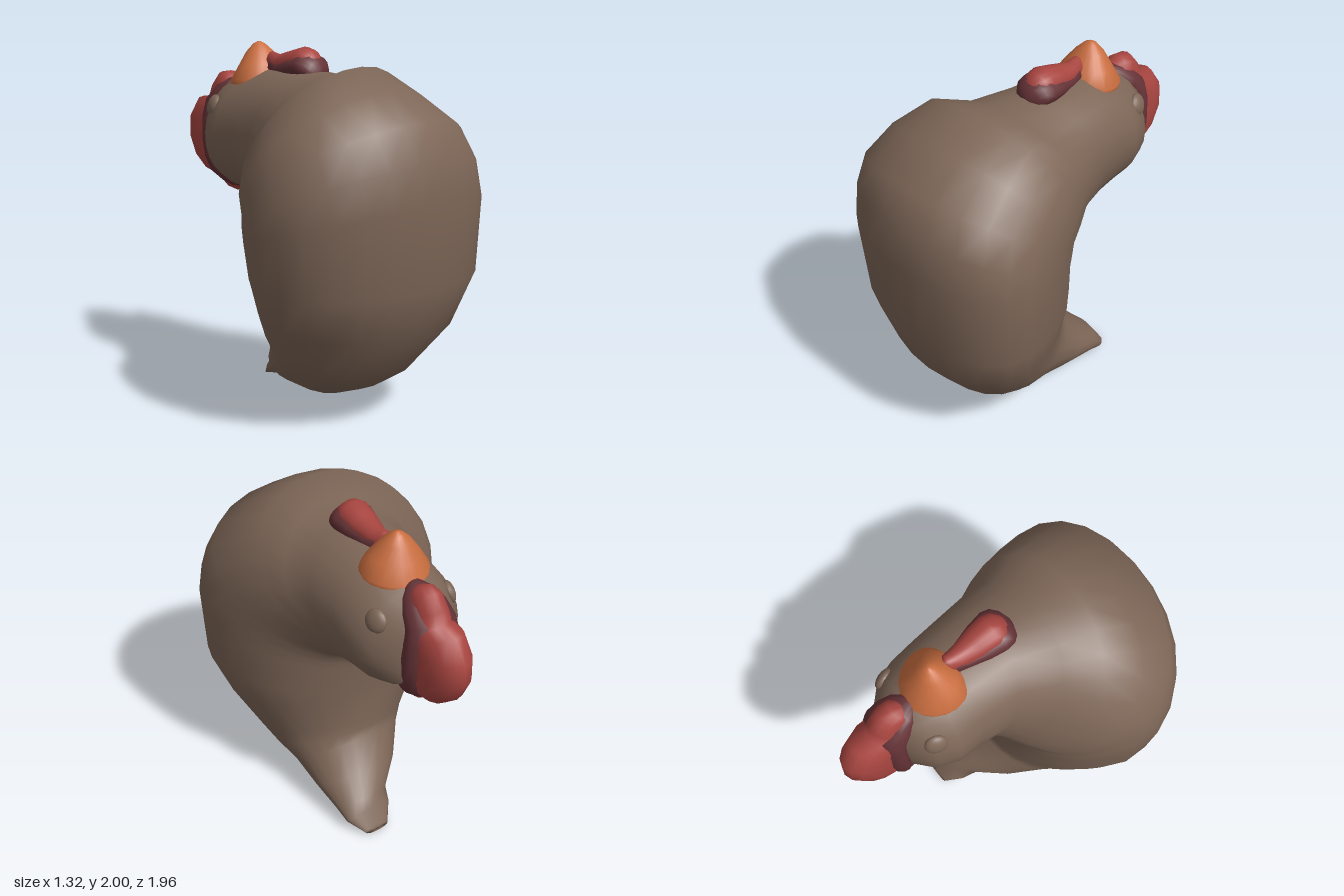
import * as THREE from 'three';

const mat = (name, color) => Object.assign(new THREE.MeshStandardMaterial({ color }), { name });

// Closed skin through oval rings: [outerZ, outerY, innerZ, innerY, minX, maxX, skew, bulge]
// skew slides the outer side towards +x, bulge moves the widest point outwards
function loft(rings, seg = 24) {
  const pos = [], index = [];
  rings.forEach(([oz, oy, iz, iy, x0, x1, skew = 0, bulge = 0]) => {
    for (let j = 0; j < seg; j++) {
      const a = (j / seg) * Math.PI * 2, s = Math.sin(a);
      const c = Math.cos(a) + bulge * s * s;
      pos.push((x0 + x1) / 2 + s * (x1 - x0) / 2 + Math.max(c, 0) * skew,
        (oy + iy) / 2 + c * (oy - iy) / 2,
        (oz + iz) / 2 + c * (oz - iz) / 2);
    }
  });
  for (let i = 0; i < rings.length - 1; i++) {
    for (let j = 0; j < seg; j++) {
      const k = (j + 1) % seg, a = i * seg + j, b = i * seg + k;
      index.push(a, b, b + seg, a, b + seg, a + seg);
    }
  }
  // end caps
  [0, rings.length - 1].forEach((i) => {
    const [oz, oy, iz, iy, x0, x1] = rings[i], centre = pos.length / 3;
    pos.push((x0 + x1) / 2, (oy + iy) / 2, (oz + iz) / 2);
    for (let j = 0; j < seg; j++) {
      const a = i * seg + j, b = i * seg + (j + 1) % seg;
      if (i === 0) index.push(centre, b, a); else index.push(centre, a, b);
    }
  });
  const g = new THREE.BufferGeometry();
  g.setAttribute('position', new THREE.Float32BufferAttribute(pos, 3));
  g.setIndex(index);
  g.computeVertexNormals();
  return g;
}

export function createModel() {
  const group = new THREE.Group();
  const brown = mat('brown feathers', 0x7d6657);
  const red = mat('comb red', 0xa84540);
  const darkRed = mat('dark red border', 0x643236);
  const orange = mat('beak orange', 0xc96e40);
  const add = (name, geometry, material) => {
    const m = new THREE.Mesh(geometry, material);
    m.name = name;
    group.add(m);
    return m;
  };
  const cx = 0.11; // head midline
  const symmetric = ([oz, oy, iz, iy, w]) => [oz, oy, iz, iy, cx - w, cx + w];
  const skullEdge = [-0.68, 1.70, -0.655, 1.23, -0.05, 0.27];

  // Tail, belly, breast and bent-back neck in one skin
  add('tailAndBelly', loft([
    [-0.40, 0.00, -0.385, 0.035, 0.14, 0.29],
    [-0.27, 0.03, -0.335, 0.12, 0.07, 0.36],
    [-0.12, 0.055, -0.30, 0.18, 0.04, 0.37],
    [0.10, 0.075, -0.20, 0.28, -0.12, 0.39],
    [0.34, 0.10, -0.09, 0.43, -0.25, 0.41],
    [0.52, 0.17, -0.08, 0.49, -0.33, 0.44, 0.04, 0.05],
    [0.66, 0.26, -0.08, 0.55, -0.41, 0.47, 0.06, 0.1],
    [0.86, 0.52, -0.08, 0.68, -0.54, 0.56, 0.11, 0.13],
    [0.955, 0.80, -0.085, 0.80, -0.63, 0.63, 0.14, 0.15],
    [0.98, 1.25, -0.10, 0.95, -0.67, 0.64, 0.14, 0.16],
    [0.95, 1.47, -0.105, 0.99, -0.665, 0.64, 0.12, 0.14],
    [0.87, 1.66, -0.11, 1.02, -0.635, 0.62, 0.08, 0.12],
    [0.66, 1.80, -0.13, 1.05, -0.58, 0.585, 0.04, 0.1],
    [0.44, 1.91, -0.17, 1.075, -0.47, 0.53, 0.03, 0.1],
    [0.25, 1.85, -0.22, 1.09, -0.32, 0.48, 0, 0.1],
    [0.00, 1.865, -0.28, 1.115, -0.22, 0.45, 0, 0.1],
    [-0.25, 1.86, -0.38, 1.135, -0.20, 0.43, 0, 0.05],
    [-0.42, 1.82, -0.48, 1.155, -0.20, 0.42],
    [-0.55, 1.78, -0.58, 1.19, -0.16, 0.38],
    skullEdge,
  ]), brown);

  // Back of the skull, where the comb grows out
  add('combRoot', loft([
    skullEdge,
    [-0.74, 1.66, -0.72, 1.27, -0.03, 0.25],
    [-0.775, 1.60, -0.76, 1.32, 0.03, 0.19],
  ]), darkRed);

  // Lobed comb
  add('comb', loft([
    [-0.57, 1.79, -0.55, 1.70, 0.045], [-0.64, 1.82, -0.56, 1.68, 0.075],
    [-0.71, 1.81, -0.57, 1.64, 0.085], [-0.77, 1.74, -0.57, 1.61, 0.09],
    [-0.79, 1.665, -0.57, 1.58, 0.105], [-0.89, 1.65, -0.57, 1.53, 0.12],
    [-0.97, 1.54, -0.57, 1.48, 0.125], [-0.975, 1.42, -0.57, 1.42, 0.125],
    [-0.92, 1.30, -0.57, 1.37, 0.12], [-0.83, 1.22, -0.57, 1.33, 0.105],
    [-0.72, 1.19, -0.56, 1.30, 0.085], [-0.65, 1.13, -0.54, 1.28, 0.07],
    [-0.58, 1.115, -0.50, 1.27, 0.055], [-0.51, 1.16, -0.48, 1.25, 0.03],
  ].map(symmetric), 16), red);

  // Border hugging the skull around the comb
  add('combBorder', loft([
    [-0.54, 1.80, -0.51, 1.72, 0.05], [-0.61, 1.79, -0.54, 1.68, 0.095],
    [-0.69, 1.755, -0.57, 1.62, 0.125], [-0.77, 1.67, -0.60, 1.59, 0.14],
    [-0.79, 1.57, -0.60, 1.53, 0.158], [-0.79, 1.42, -0.60, 1.42, 0.162],
    [-0.77, 1.30, -0.60, 1.36, 0.155], [-0.74, 1.21, -0.59, 1.32, 0.13],
    [-0.65, 1.16, -0.56, 1.30, 0.115], [-0.58, 1.14, -0.52, 1.26, 0.09],
    [-0.49, 1.15, -0.47, 1.24, 0.05],
  ].map(symmetric), 20), darkRed);

  // Teardrop wattle on the throat, with its border
  const wattle = [
    [0.075, 1.91, 0.025], [0.055, 1.945, 0.062], [0.02, 1.975, 0.085], [-0.03, 1.988, 0.092],
    [-0.12, 1.965, 0.08], [-0.23, 1.935, 0.055], [-0.29, 1.95, 0.045], [-0.315, 1.93, 0.02],
  ];
  add('wattle', loft(wattle.map(([z, y, w]) => symmetric([z, y, z, 1.82, w])), 16), red);
  add('wattleBorder', loft(wattle.map(([z, y, w]) =>
    symmetric([z + 0.025, y - 0.03, z + 0.025, 1.80, w * 1.3])), 16), darkRed);

  // Upturned beak, widest near the mouth corners
  add('beak', loft([
    [-0.22, 1.74, -0.56, 1.74, cx - 0.17, cx + 0.17, 0, 0.1],
    [-0.22, 1.81, -0.555, 1.775, cx - 0.185, cx + 0.185, 0, 0.1],
    [-0.265, 1.88, -0.51, 1.86, cx - 0.135, cx + 0.135, 0, 0.1],
    [-0.32, 1.95, -0.465, 1.94, cx - 0.08, cx + 0.08],
    [-0.365, 1.99, -0.43, 1.985, cx - 0.035, cx + 0.035],
    [-0.39, 2.0, -0.405, 2.0, cx - 0.01, cx + 0.01],
  ], 20), orange);

  // Eyes
  [[-1, 'rightEye'], [1, 'leftEye']].forEach(([side, name]) => {
    const eye = add(name, new THREE.SphereGeometry(1, 16, 12), brown);
    eye.scale.set(0.032, 0.063, 0.062);
    eye.position.set(cx + side * 0.222, 1.64, -0.54);
    eye.rotation.set(0, side * 0.35, side * 0.3);
  });

  return group;
}
